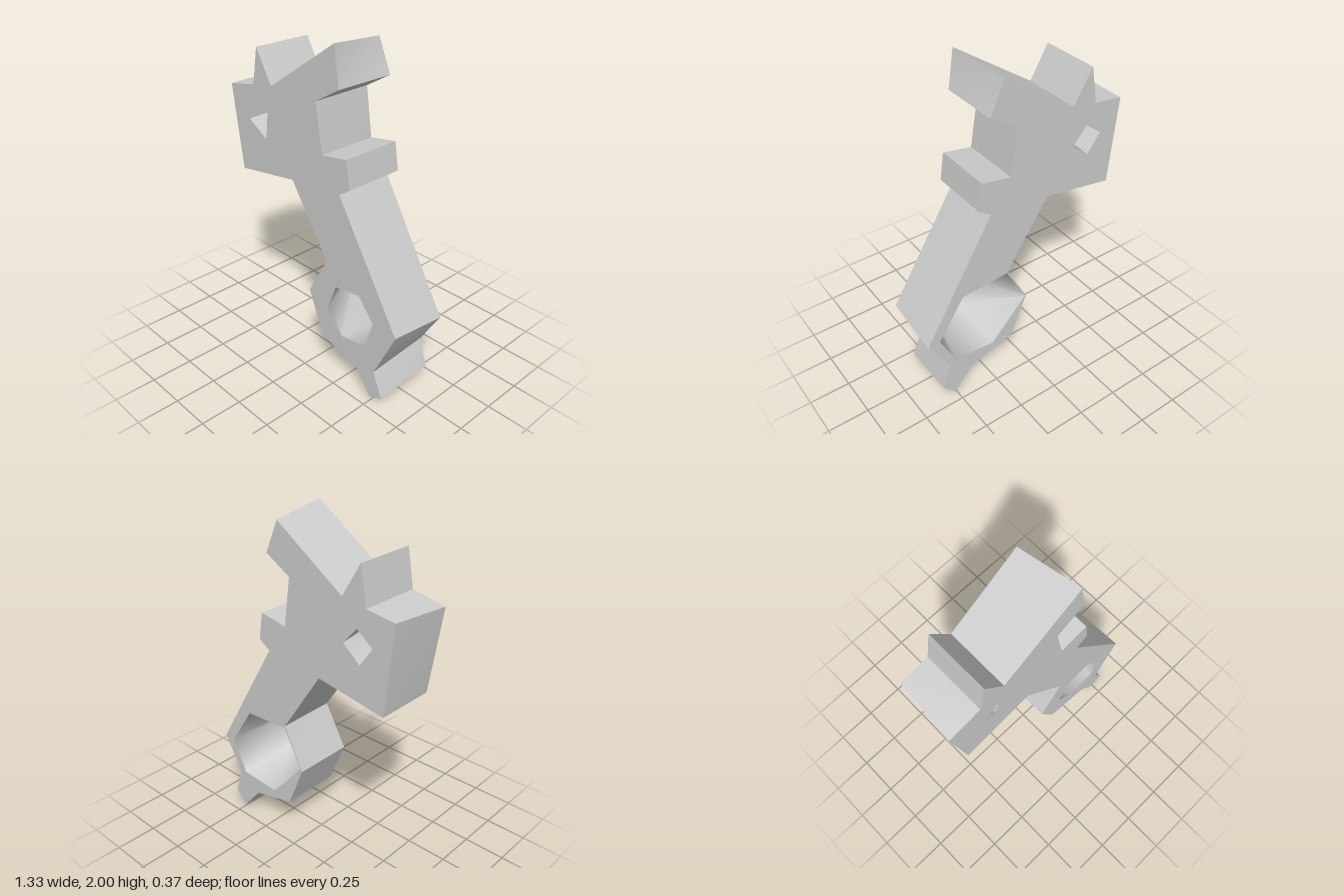
import * as THREE from 'three';
import { toCreasedNormals } from 'three/addons/utils/BufferGeometryUtils.js';

const HALF = 0.185; // half thickness of the plate

// Outline, counterclockwise seen from the front: [x, y] or [x, y, backX, backY]
const OUTLINE = [
  [0.19, 2.0, 0.14, 1.965], [-0.305, 1.67], [-0.42, 1.865], [-0.46, 1.645],
  [-0.665, 1.605, -0.64, 1.622], [-0.59, 1.095], [-0.145, 1.165, -0.15, 1.165],
  [0.13, 0.755, 0.12, 0.757], [-0.015, 0.5], [0.095, 0.23], [0.38, 0.155],
  [0.48, 0.01, 0.51, 0.0], [0.575, 0.045, 0.585, 0.085],
  [0.51, 0.2, 0.532, 0.255], [0.66, 0.51, 0.665, 0.47],
  [0.23, 1.205], [0.305, 1.255], [0.28, 1.42], [0.1, 1.39],
  [0.053, 1.675, 0.06, 1.68], [0.225, 1.775],
];

// Holes, clockwise; both change shape from front to back
const RING_HOLE = [
  [0.205, 0.62, 0.125, 0.745], [0.385, 0.65, 0.425, 0.724],
  [0.495, 0.515, 0.588, 0.472], [0.435, 0.34, 0.49, 0.268],
  [0.255, 0.31, 0.232, 0.249], [0.14, 0.455, -0.008, 0.5],
];
const SMALL_HOLE = [
  [-0.345, 1.51, -0.405, 1.526], [-0.355, 1.43, -0.316, 1.425],
  [-0.365, 1.345, -0.427, 1.335], [-0.51, 1.43, -0.509, 1.448],
];

const frontPoint = ([x, y]) => new THREE.Vector2(x, y);
const backPoint = ([x, y, bx = x, by = y]) => new THREE.Vector2(bx, by);

function geometryFrom(points) {
  const geometry = new THREE.BufferGeometry().setFromPoints(points);
  geometry.computeVertexNormals();
  return geometry;
}

// Flat face with both holes cut out
function face(pick, z, flip) {
  const outline = OUTLINE.map(pick);
  const holes = [RING_HOLE.map(pick), SMALL_HOLE.map(pick)];
  const all = [...outline, ...holes.flat()];
  const points = [];
  for (const tri of THREE.ShapeUtils.triangulateShape(outline, holes)) {
    const order = flip ? [...tri].reverse() : tri;
    for (const i of order) points.push(new THREE.Vector3(all[i].x, all[i].y, z));
  }
  return geometryFrom(points);
}

// Band of quads joining the front and back versions of a loop
function wall(loop, creaseAngle) {
  const points = [];
  const front = loop.map(p => new THREE.Vector3(...frontPoint(p), HALF));
  const back = loop.map(p => new THREE.Vector3(...backPoint(p), -HALF));
  for (let i = 0; i < loop.length; i++) {
    const j = (i + 1) % loop.length;
    points.push(front[i], back[i], back[j], front[i], back[j], front[j]);
  }
  return toCreasedNormals(geometryFrom(points), creaseAngle);
}

export function createModel() {
  const group = new THREE.Group();
  group.name = 'hookedWrenchPlate';
  const material = new THREE.MeshStandardMaterial({ color: 0xcccccc });
  const add = (name, geometry) => {
    const mesh = new THREE.Mesh(geometry, material);
    mesh.name = name;
    group.add(mesh);
  };

  // Broad faces
  add('frontFace', face(frontPoint, HALF, false));
  add('backFace', face(backPoint, -HALF, true));

  // Rim and hole walls
  add('outerRim', wall(OUTLINE, 0.6));
  add('ringHoleWall', wall(RING_HOLE, 1.2));
  add('smallHoleWall', wall(SMALL_HOLE, 0.8));
  return group;
}
